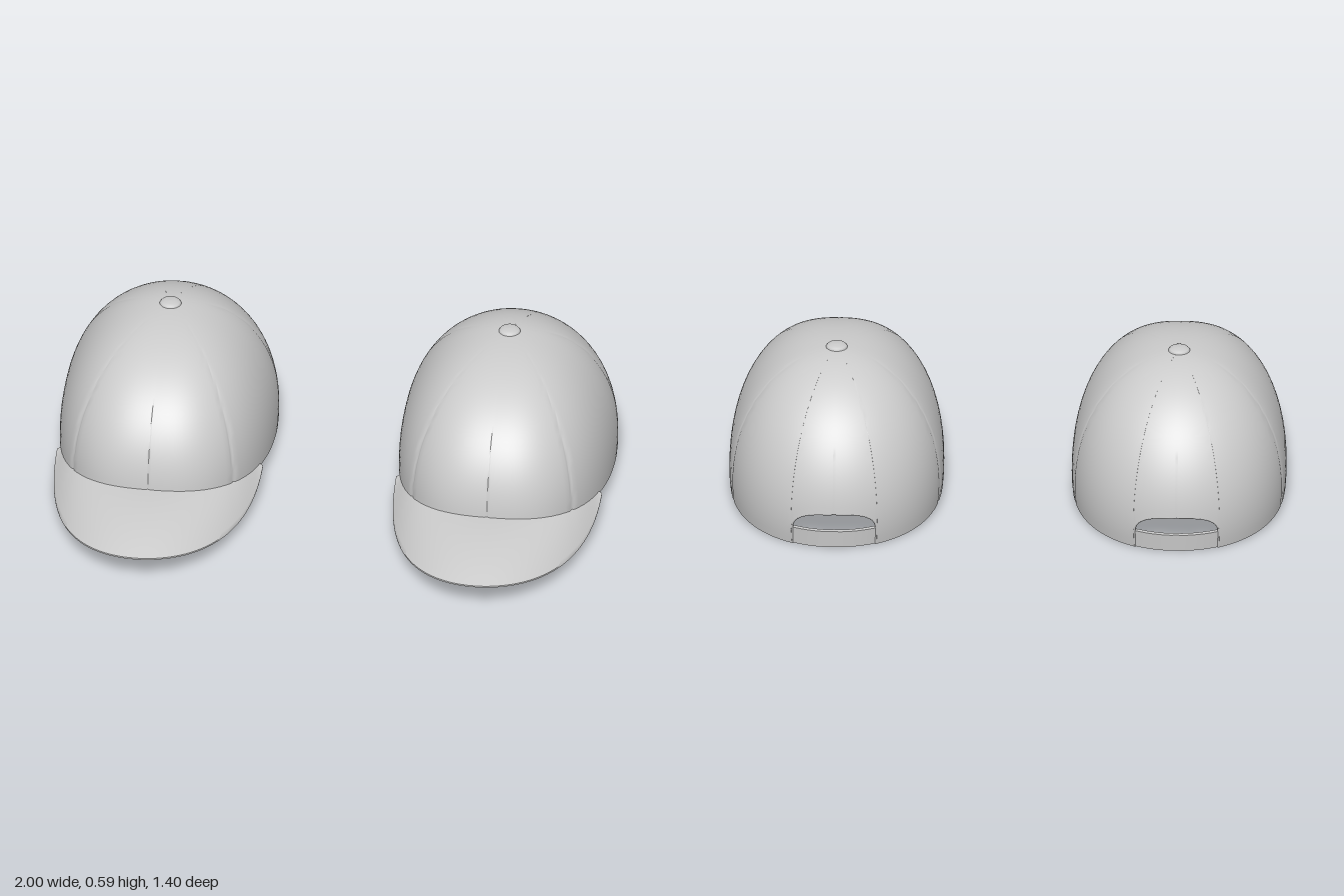
import * as THREE from 'three';
import { toCreasedNormals } from 'three/addons/utils/BufferGeometryUtils.js';

const MID = -0.235;                 // z of the crown's top
const OPEN = 0.41;                  // half angle of the rear opening
const SEAMS = [0, 45, 107, 180, 253, 315].map(THREE.MathUtils.degToRad);
const material = new THREE.MeshStandardMaterial({ color: 0xcccccc, side: THREE.DoubleSide });

// Skin a list of cross-sections (each an array of Vector3)
function skin(sections, closed = false) {
  const n = sections.length, m = sections[0].length, index = [];
  for (let i = 0; i < (closed ? n : n - 1); i++) {
    for (let j = 0; j < m - 1; j++) {
      const a = i * m + j, b = ((i + 1) % n) * m + j;
      index.push(a, b, b + 1, a, b + 1, a + 1);
    }
  }
  const geo = new THREE.BufferGeometry().setFromPoints(sections.flat());
  geo.setIndex(index);
  return toCreasedNormals(geo, 0.8);
}

function part(name, geo) {
  const mesh = new THREE.Mesh(geo, material);
  mesh.name = name;
  return mesh;
}

// Smallest difference between two angles
const apart = (a, b) => Math.abs(Math.atan2(Math.sin(a - b), Math.cos(a - b)));

// Plan outline of the crown: angle 0 faces the front
function plan(phi) {
  const s = Math.sin(phi), c = Math.cos(phi), n = 2.3 + 0.25 * c;
  const k = (Math.abs(s) ** n + Math.abs(c) ** n) ** (-1 / n);
  return [0.385 * s * k, (c > 0 ? 0.585 : 0.465) * c * k];
}

// Point on the crown at a given angle and height
function shell(phi, y, scale = 1) {
  const s = Math.min(1, (y - 0.1) / 0.48), n = 2.12 + 0.15 * Math.cos(phi);
  let r = s < 0 ? 1 - 0.5 * s * s : (1 - s ** n) ** (1 / n);
  for (const seam of SEAMS) r *= 1 - 0.008 * Math.exp(-((apart(phi, seam) / 0.012) ** 2));
  const [x, z] = plan(phi);
  return new THREE.Vector3(x * r * scale, y, MID + z * r * scale);
}

// Lower edge, rising toward the front
function hem(phi) {
  const t = Math.max(0, (MID + plan(phi)[1] + 0.7) / 1.05);
  return 0.002 + 0.15 * t ** 1.7;
}

// Lower edge including the arched opening at the back
function rim(phi) {
  const q = apart(phi, Math.PI) / OPEN;
  return q < 1 ? 0.07 + 0.072 * Math.sqrt(1 - q ** 3) : hem(phi);
}

function crown() {
  const angles = [];
  for (let i = 0; i < 96; i++) angles.push((i / 96) * 2 * Math.PI);
  for (const s of SEAMS) for (const d of [-0.026, -0.012, 0.012, 0.026]) angles.push(s + d);
  for (const s of SEAMS) angles.push(s);
  for (const side of [-1, 1]) for (const d of [-0.03, -0.012, -0.0005, 0.0005]) {
    angles.push(Math.PI + side * (OPEN + d));
  }
  const wrapped = angles.map(a => (a + 2 * Math.PI) % (2 * Math.PI)).sort((a, b) => a - b);
  const unique = wrapped.filter((a, i) => i === 0 || a - wrapped[i - 1] > 1e-4);
  const rows = 26;
  return skin(unique.map(phi => {
    const b0 = Math.asin((rim(phi) - 0.1) / 0.48), inner = [], outer = [];
    for (let j = 0; j <= rows; j++) {
      const s = Math.sin(b0 + (Math.PI / 2 - b0) * j / rows), y = 0.1 + 0.48 * s;
      outer.push(shell(phi, y));
      const p = shell(phi, y, 0.97);
      p.y -= 0.012 * Math.max(0, s) * (j / rows);
      inner.unshift(p);
    }
    return [...inner, ...outer];
  }), true);
}

function brim() {
  const sections = [], cols = 64, rows = 14;
  for (let i = 0; i <= cols; i++) {
    const t = -1 + 2 * i / cols, a = t * Math.PI / 2, phi = t * 1.122, c = Math.cos(a);
    const root = shell(phi, hem(phi), 0.985);
    const d = c > 0.4 ? 0.055 * ((c - 0.4) / 0.6) ** 2 : 0.033 * ((0.4 - c) / 0.4) ** 2;
    const tip = new THREE.Vector3(0.373 * Math.sin(a), 0.049 + d, 0.03 + 0.67 * c);
    const under = [], top = [];
    for (let j = 0; j <= rows; j++) {
      const v = j / rows, p = root.clone().lerp(tip, v);
      p.y += 0.056 * c * v * (1 - v);
      under.push(p);
      top.unshift(p.clone().setY(p.y + 0.012 - 0.006 * v));
    }
    sections.push([...under, ...top]);
  }
  return skin(sections);
}

// Curved band bridging the bottom of the opening
function strap() {
  const sections = [];
  for (let i = 0; i <= 20; i++) {
    const phi = Math.PI + (-1 + i / 10) * (OPEN + 0.04);
    sections.push([[0.004, 0.995], [0.07, 0.99], [0.07, 0.955], [0.004, 0.96], [0.004, 0.995]]
      .map(([y, k]) => shell(phi, y, k)));
  }
  return skin(sections);
}

// Piping around the arch of the opening
function piping() {
  const points = [];
  for (let i = 0; i <= 32; i++) {
    const phi = Math.PI - OPEN * Math.cos(Math.PI * i / 32);
    points.push(shell(phi, rim(phi), 0.987));
  }
  return new THREE.TubeGeometry(new THREE.CatmullRomCurve3(points), 64, 0.006, 6);
}

function button() {
  const profile = [[0.038, -0.012], [0.039, 0], [0.034, 0.007], [0.02, 0.011], [0, 0.012]];
  const geo = new THREE.LatheGeometry(profile.map(p => new THREE.Vector2(...p)), 28);
  return geo.translate(0, 0.578, MID);
}

export function createModel() {
  const model = new THREE.Group();
  model.name = 'pairOfCaps';
  const parts = { crown: crown(), brim: brim(), rearStrap: strap(), openingPiping: piping(), topButton: button() };
  for (const side of [-1, 1]) {
    const cap = new THREE.Group();
    cap.name = side > 0 ? 'leftCap' : 'rightCap';
    for (const [name, geo] of Object.entries(parts)) cap.add(part(name, geo));
    cap.position.x = side * 0.614;
    model.add(cap);
  }
  return model;
}
